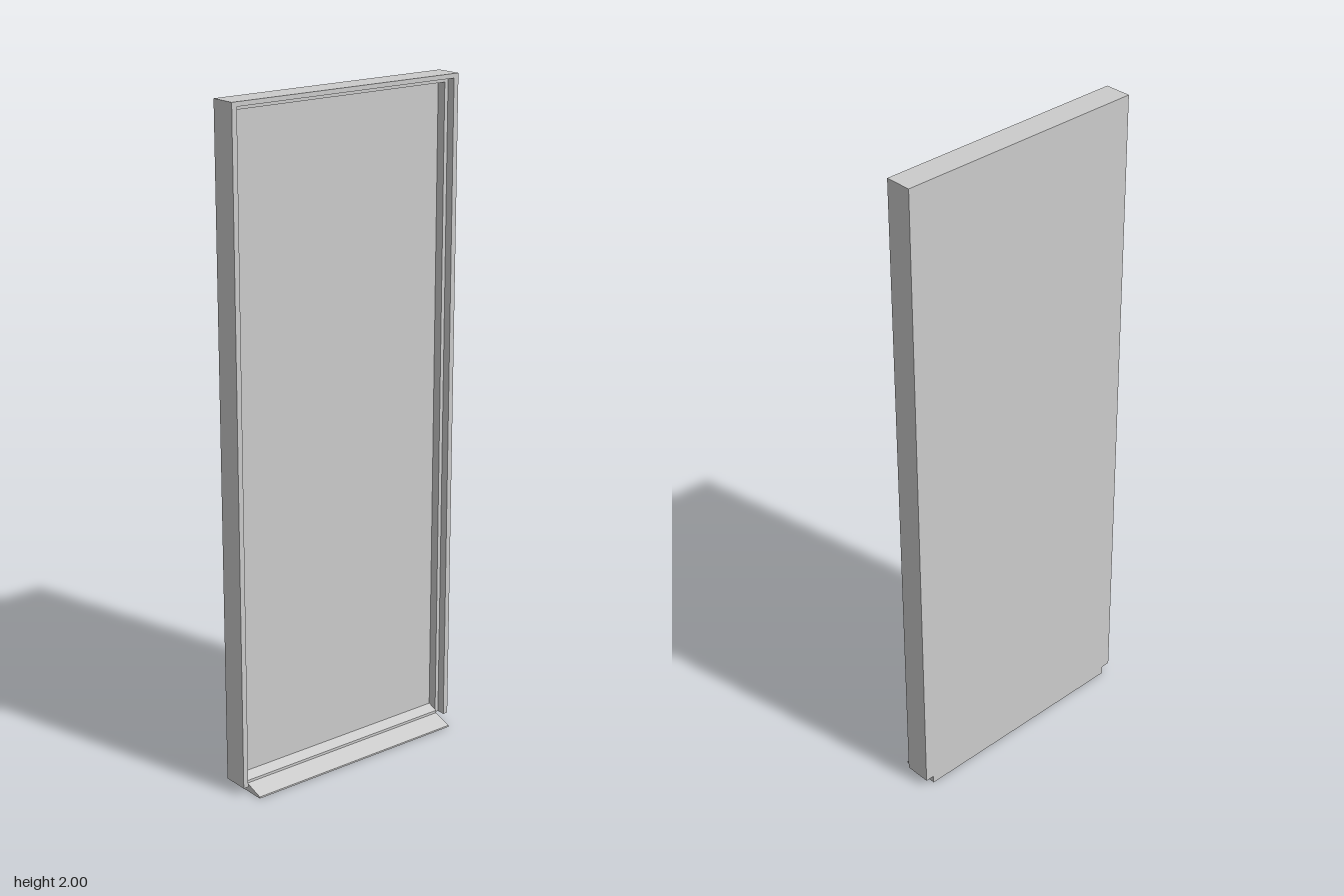
import * as THREE from 'three';

const HALF_W = 0.39, TOP = 2, FOOT = 0.025;
const Z_BACK = -0.06, Z_PANEL = -0.033, Z_STOP = -0.005, Z_FRONT = 0.02;
const SILL_W = 0.362;

const material = new THREE.MeshStandardMaterial({ color: 0xcccccc, flatShading: true });

// Extrudes an outline in the xy plane between two depths
function slab(name, points, z0, z1) {
  const shape = new THREE.Shape(points.map(([x, y]) => new THREE.Vector2(x, y)));
  const geometry = new THREE.ExtrudeGeometry(shape, { depth: z1 - z0, bevelEnabled: false });
  geometry.translate(0, 0, z0);
  const mesh = new THREE.Mesh(geometry, material);
  mesh.name = name;
  return mesh;
}

// Two jambs and a head as one outline, open at the bottom
function surround(innerW, innerTop) {
  return [
    [-HALF_W, FOOT], [-innerW, FOOT], [-innerW, innerTop], [innerW, innerTop],
    [innerW, FOOT], [HALF_W, FOOT], [HALF_W, TOP], [-HALF_W, TOP],
  ];
}

export function createModel() {
  const model = new THREE.Group();
  model.name = 'doorFrame';

  // Flat back, with a narrower foot below the jambs
  model.add(slab('backPanel', [
    [-SILL_W, 0], [SILL_W, 0], [SILL_W, FOOT], [HALF_W, FOOT],
    [HALF_W, TOP], [-HALF_W, TOP], [-HALF_W, FOOT], [-SILL_W, FOOT],
  ], Z_BACK, Z_PANEL));

  // Stepped frame: inner stop and wider front rebate
  model.add(slab('innerStop', surround(SILL_W, 1.974), Z_PANEL, Z_STOP));
  model.add(slab('outerFrame', surround(0.374, 1.987), Z_STOP, Z_FRONT));

  // Sloping sill: the profile is drawn in (z, y) and extruded along x
  const sill = slab('sill', [
    [Z_PANEL, 0], [0.059, 0], [0.059, 0.005], [0, 0.025], [0, 0.033], [Z_PANEL, 0.045],
  ], -SILL_W, SILL_W);
  sill.geometry.rotateY(-Math.PI / 2);
  model.add(sill);

  return model;
}
